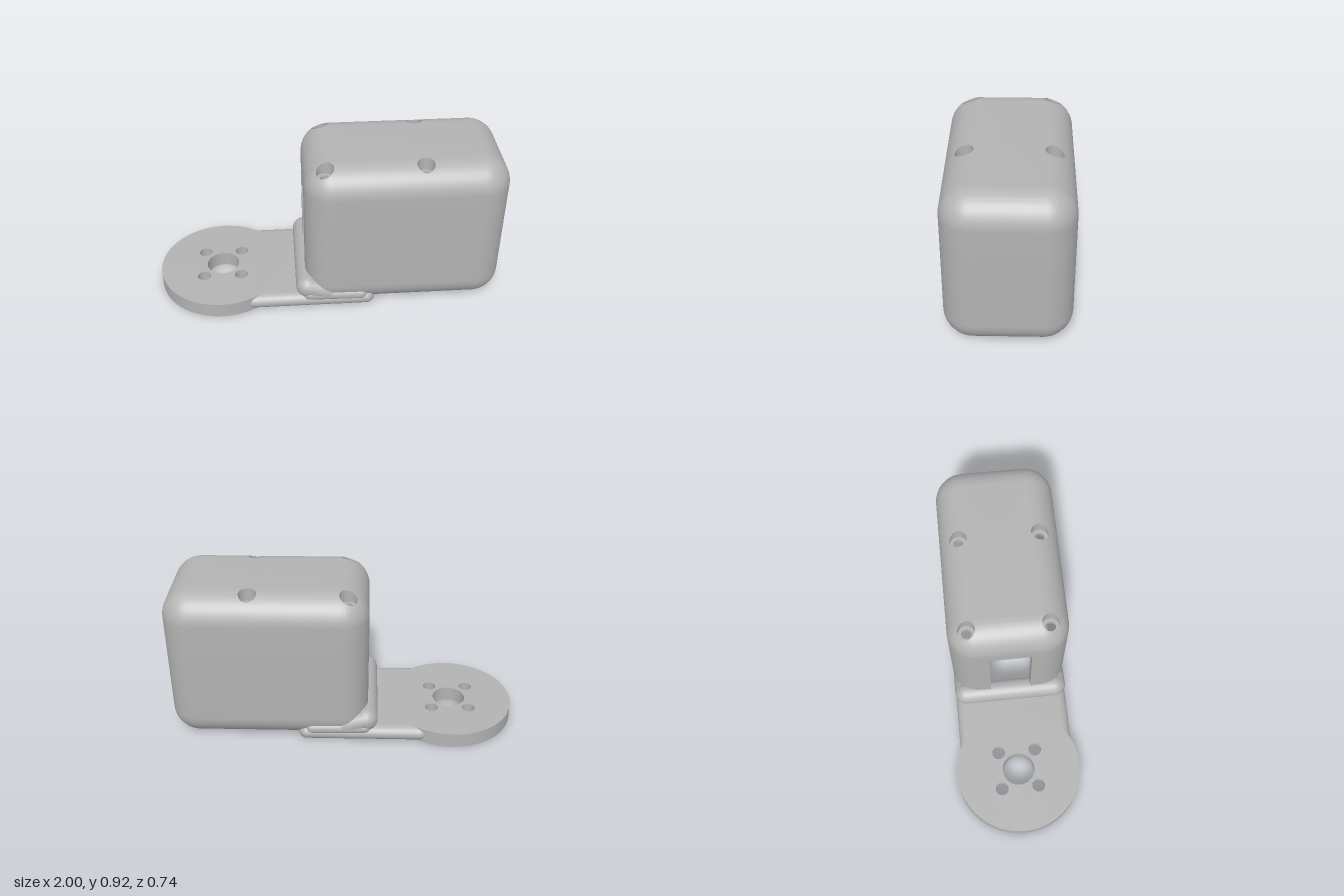
import * as THREE from 'three';
import { toCreasedNormals } from 'three/addons/utils/BufferGeometryUtils.js';

// Housing dimensions: centre x, half sizes of the core rectangle, edge radius
const CX = 0.43, KX = 0.41, KZ = 0.18, R = 0.16, TOP = 0.92;
const INSET = 0.105, CEIL = 0.82, SLOT_TOP = 0.7, SLOT_Z = 0.12;
const SCREWS = [[-0.025, 0.23], [-0.025, -0.23], [0.52, 0.23], [0.52, -0.23]];
const SCREW_R = 0.049, BORE_R = 0.028, SEAT_Y = 0.845;

// Height of the rounded housing top above a plan position
function topHeight(x, z) {
  const dx = Math.max(Math.abs(x - CX) - KX, 0), dz = Math.max(Math.abs(z) - KZ, 0);
  return TOP - R + Math.sqrt(Math.max(R * R - dx * dx - dz * dz, 0));
}

// Columns around the rounded rectangle: core point and outward direction
function perimeter() {
  const corners = [[KX, KZ], [-KX, KZ], [-KX, -KZ], [KX, -KZ]], cols = [];
  corners.forEach(([x, z], k) => {
    for (let j = 0; j <= 16; j++) {
      const a = (k + j / 16) * Math.PI / 2;
      cols.push({ x, z, nx: Math.cos(a), nz: Math.sin(a) });
    }
    const [x2, z2] = corners[(k + 1) % 4], n = k % 2 ? 6 : 82, a = (k + 1) * Math.PI / 2;
    for (let s = 1; s < n; s++) {
      cols.push({ x: x + (x2 - x) * s / n, z: z + (z2 - z) * s / n, nx: Math.cos(a), nz: Math.sin(a) });
    }
  });
  return cols;
}

// Hollow housing, open below, with a rear slot and four screw recesses
function housingGeometry() {
  const cols = perimeter(), pos = [], idx = [], cut = [];
  let rows = 0, wallRow = 0;
  for (const c of cols) {
    const put = (d, y) => {
      let x = CX + c.x + c.nx * d, z = c.z + c.nz * d, hole = -1;
      if (y > TOP - R) SCREWS.forEach(([hx, hz], h) => {
        const q = Math.hypot(x - hx, z - hz);
        if (q < SCREW_R) {
          x = hx + (x - hx) * SCREW_R / q;
          z = hz + (z - hz) * SCREW_R / q;
          y = topHeight(x, z);
          hole = h;
        }
      });
      pos.push(x, y, z);
      cut.push(hole);
    };
    const start = cut.length;
    // The sharp cavity trims the rounded bottom edge
    const rim = INSET / Math.max(Math.abs(c.nx), Math.abs(c.nz));
    const t0 = Math.acos(rim / R);
    put(rim, CEIL);
    put(rim, SLOT_TOP);
    for (let i = 0; i <= 8; i++) {
      const t = t0 * (1 - i / 8);
      put(R * Math.cos(t), R - R * Math.sin(t));
    }
    wallRow = cut.length - start;
    put(R, SLOT_TOP);
    for (let i = 0; i <= 24; i++) {
      const t = i / 24 * Math.PI / 2;
      put(R * Math.cos(t), TOP - R + R * Math.sin(t));
    }
    rows = cut.length - start;
  }
  const centre = cut.length;
  pos.push(CX, TOP, 0);
  const tri = (a, b, c) => {
    if (cut[a] < 0 || cut[a] !== cut[b] || cut[a] !== cut[c]) idx.push(a, b, c);
  };
  const inSlot = c => c.nx < -0.999 && Math.abs(c.z) < SLOT_Z + 0.001;
  cols.forEach((c, j) => {
    const k = (j + 1) % cols.length, slot = inSlot(c) && inSlot(cols[k]);
    for (let i = 0; i < rows - 1; i++) {
      if (slot && i >= 1 && i < wallRow) continue;
      const a = j * rows + i, b = k * rows + i;
      tri(a, a + 1, b);
      tri(b, a + 1, b + 1);
    }
    idx.push(j * rows + rows - 1, centre, k * rows + rows - 1);
  });
  const g = new THREE.BufferGeometry();
  g.setAttribute('position', new THREE.Float32BufferAttribute(pos, 3));
  g.setIndex(idx);
  return toCreasedNormals(g, 0.6);
}

// Capsule between two points in the side plane, with its inner half flattened
function halfBead(x0, y0, x1, y1, r, depth, side) {
  const len = Math.hypot(x1 - x0, y1 - y0);
  const g = new THREE.CapsuleGeometry(r, len, 8, 24);
  const p = g.attributes.position;
  for (let i = 0; i < p.count; i++) p.setZ(i, side * Math.max(side * p.getZ(i), 0));
  g.scale(1, 1, depth / r);
  g.rotateZ(Math.atan2(y1 - y0, x1 - x0) - Math.PI / 2);
  g.translate((x0 + x1) / 2, (y0 + y1) / 2, side * 0.285);
  return toCreasedNormals(g, 0.7);
}

function circleHole(x, y, r) {
  return new THREE.Path().absarc(x, y, r, 0, Math.PI * 2, true);
}

export function createModel() {
  const model = new THREE.Group();
  const grey = new THREE.MeshStandardMaterial({ color: 0xb3b3b3, side: THREE.DoubleSide });
  grey.name = 'plain grey';
  const add = (name, geometry, x = 0, y = 0, z = 0) => {
    const mesh = new THREE.Mesh(geometry, grey);
    mesh.name = name;
    mesh.position.set(x, y, z);
    model.add(mesh);
    return mesh;
  };

  // Housing shell and its ceiling
  add('housing', housingGeometry());
  const hx = KX + INSET, hz = KZ + INSET;
  const ceiling = new THREE.Shape([[-hx, -hz], [hx, -hz], [hx, hz], [-hx, hz]].map(p => new THREE.Vector2(...p)));
  SCREWS.forEach(([x, z]) => ceiling.holes.push(circleHole(x - CX, z, BORE_R)));
  add('housingCeiling', new THREE.ShapeGeometry(ceiling, 24).rotateX(Math.PI / 2), CX, CEIL, 0);

  // Screw recesses: wall, seat ring and through bore
  SCREWS.forEach(([x, z]) => {
    const wall = new THREE.CylinderGeometry(SCREW_R, SCREW_R, 1, 40, 1, true);
    const p = wall.attributes.position;
    for (let i = 0; i < p.count; i++) {
      p.setY(i, p.getY(i) > 0 ? topHeight(x + p.getX(i), z + p.getZ(i)) : SEAT_Y);
    }
    add('screwRecess', wall, x, 0, z);
    add('screwSeat', new THREE.RingGeometry(BORE_R, SCREW_R, 40).rotateX(-Math.PI / 2), x, SEAT_Y, z);
    add('screwBore', new THREE.CylinderGeometry(BORE_R, BORE_R, SEAT_Y - CEIL, 32, 1, true), x, (SEAT_Y + CEIL) / 2, z);
  });

  // Slot lining through the wall thickness
  const wallX = -0.1125, wallT = 0.055;
  for (const s of [-1, 1]) {
    add('slotJamb', new THREE.PlaneGeometry(wallT, SLOT_TOP - 0.08), wallX, (SLOT_TOP + 0.08) / 2, s * SLOT_Z);
  }
  add('slotLintel', new THREE.PlaneGeometry(wallT, SLOT_Z * 2).rotateX(Math.PI / 2), wallX, SLOT_TOP, 0);

  // Round mounting plate with its arm, counterbored from below
  const plate = (name, y, height, boltR) => {
    const a = Math.asin(0.285 / 0.37);
    const shape = new THREE.Shape();
    shape.absarc(0, 0, 0.37, a, Math.PI * 2 - a, false);
    shape.lineTo(0.545, -0.285);
    shape.lineTo(0.545, 0.285);
    shape.closePath();
    shape.holes.push(circleHole(0, 0, 0.095));
    for (const sx of [-1, 1]) for (const sz of [-1, 1]) shape.holes.push(circleHole(sx * 0.11, sz * 0.11, boltR));
    const g = new THREE.ExtrudeGeometry(shape, { depth: height, bevelEnabled: false, curveSegments: 48 });
    g.rotateX(-Math.PI / 2);
    add(name, toCreasedNormals(g, 0.5), -0.63, y, 0);
  };
  plate('mountingPlateLower', 0, 0.045, 0.055);
  plate('mountingPlateUpper', 0.045, 0.045, 0.038);

  // Rounded rails and reinforcing beads along both sides
  for (const s of [-1, 1]) {
    add('sideRail', halfBead(-0.445, 0.045, 0.215, 0.045, 0.045, 0.054, s));
    add('sideBead', halfBead(-0.12, 0.085, 0.18, 0.078, 0.045, 0.056, s));
    add('slopingBead', halfBead(-0.13, 0.128, -0.01, 0.09, 0.056, 0.056, s));
  }

  // Cross bead behind the housing, flat towards the cavity
  const bead = new THREE.CapsuleGeometry(0.067, 0.546, 10, 32).rotateX(Math.PI / 2);
  const p = bead.attributes.position;
  for (let i = 0; i < p.count; i++) p.setX(i, Math.min(p.getX(i), 0.044));
  add('crossBead', toCreasedNormals(bead, 0.7), -0.13, 0.123, 0);

  return model;
}
